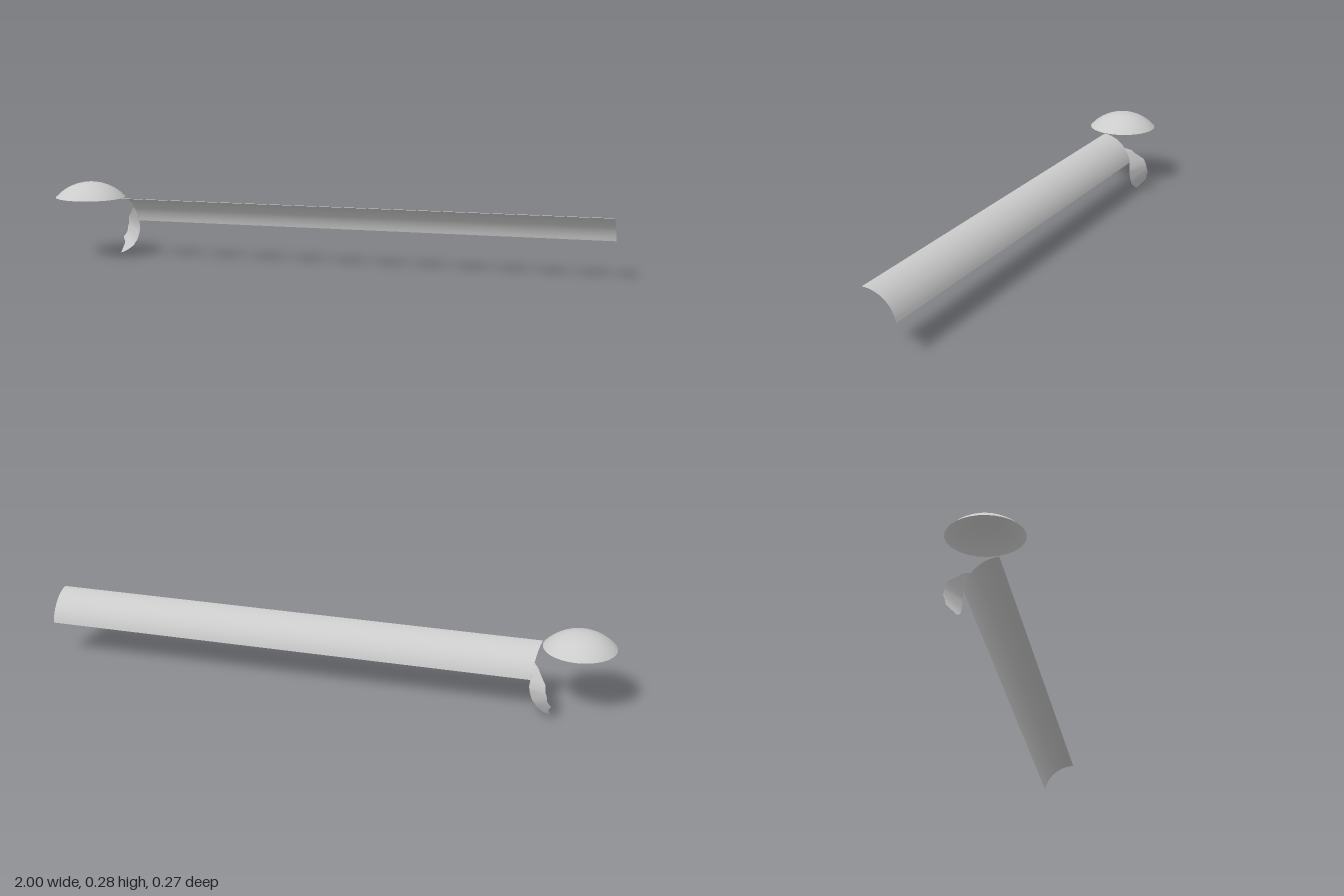
import * as THREE from 'three';

const material = new THREE.MeshStandardMaterial({ color: 0xcccccc, side: THREE.DoubleSide });

// Smooth sheet through equally long rows of [x, y, z] points
function sheet(name, rows) {
  const n = rows[0].length;
  const index = [];
  for (let i = 0; i < rows.length - 1; i++) {
    for (let j = 0; j < n - 1; j++) {
      const a = i * n + j, b = a + n;
      index.push(a, a + 1, b, b, a + 1, b + 1);
    }
  }
  const geometry = new THREE.BufferGeometry();
  geometry.setAttribute('position', new THREE.Float32BufferAttribute(rows.flat(2), 3));
  geometry.setIndex(index);
  geometry.computeVertexNormals();
  const mesh = new THREE.Mesh(geometry, material);
  mesh.name = name;
  return mesh;
}

export function createModel() {
  const group = new THREE.Group();

  // Shallow open dome: a cap cut from a larger sphere
  const rim = 0.125, rise = 0.055;
  const radius = (rim * rim + rise * rise) / (2 * rise);
  const dome = new THREE.Mesh(
    new THREE.SphereGeometry(radius, 32, 6, 0, Math.PI * 2, 0, Math.asin(rim / radius)),
    material
  );
  dome.name = 'dome';
  dome.position.set(-0.875, 0.22 + rise - radius, 0.01);
  group.add(dome);

  // Long curved shell: an arc swept along x, its near end slanting toward the dome
  const arcRadius = 0.119, steps = 16;
  const nearEnd = [], farEnd = [];
  for (let i = 0; i <= steps; i++) {
    const t = i / steps;
    const angle = THREE.MathUtils.lerp(0.2, Math.PI / 2, t);
    const y = 0.101 + arcRadius * Math.sin(angle);
    const z = 0.03 - arcRadius * Math.cos(angle);
    nearEnd.push([-0.727 - 0.02 * t, y, z]);
    farEnd.push([1, y, z]);
  }
  group.add(sheet('longShell', [farEnd, nearEnd]));

  // Leaf-like flap: a smooth inner edge joined to a jagged outer edge
  const innerEdge = [
    [-0.735, 0.177, -0.062], [-0.732, 0.165, -0.069], [-0.731, 0.153, -0.076],
    [-0.727, 0.125, -0.087], [-0.724, 0.1, -0.087], [-0.727, 0.08, -0.087],
    [-0.735, 0.055, -0.087], [-0.752, 0.03, -0.087], [-0.775, 0.013, -0.087],
    [-0.8, 0.001, -0.087],
  ];
  const outerEdge = [
    [-0.736, 0.177, -0.063], [-0.752, 0.168, -0.084], [-0.76, 0.155, -0.093],
    [-0.782, 0.13, -0.121], [-0.785, 0.108, -0.131], [-0.79, 0.095, -0.131],
    [-0.794, 0.074, -0.135], [-0.806, 0.054, -0.126], [-0.797, 0.041, -0.125],
    [-0.802, 0, -0.088],
  ];
  group.add(sheet('leafFlap', [innerEdge, outerEdge]));

  return group;
}
